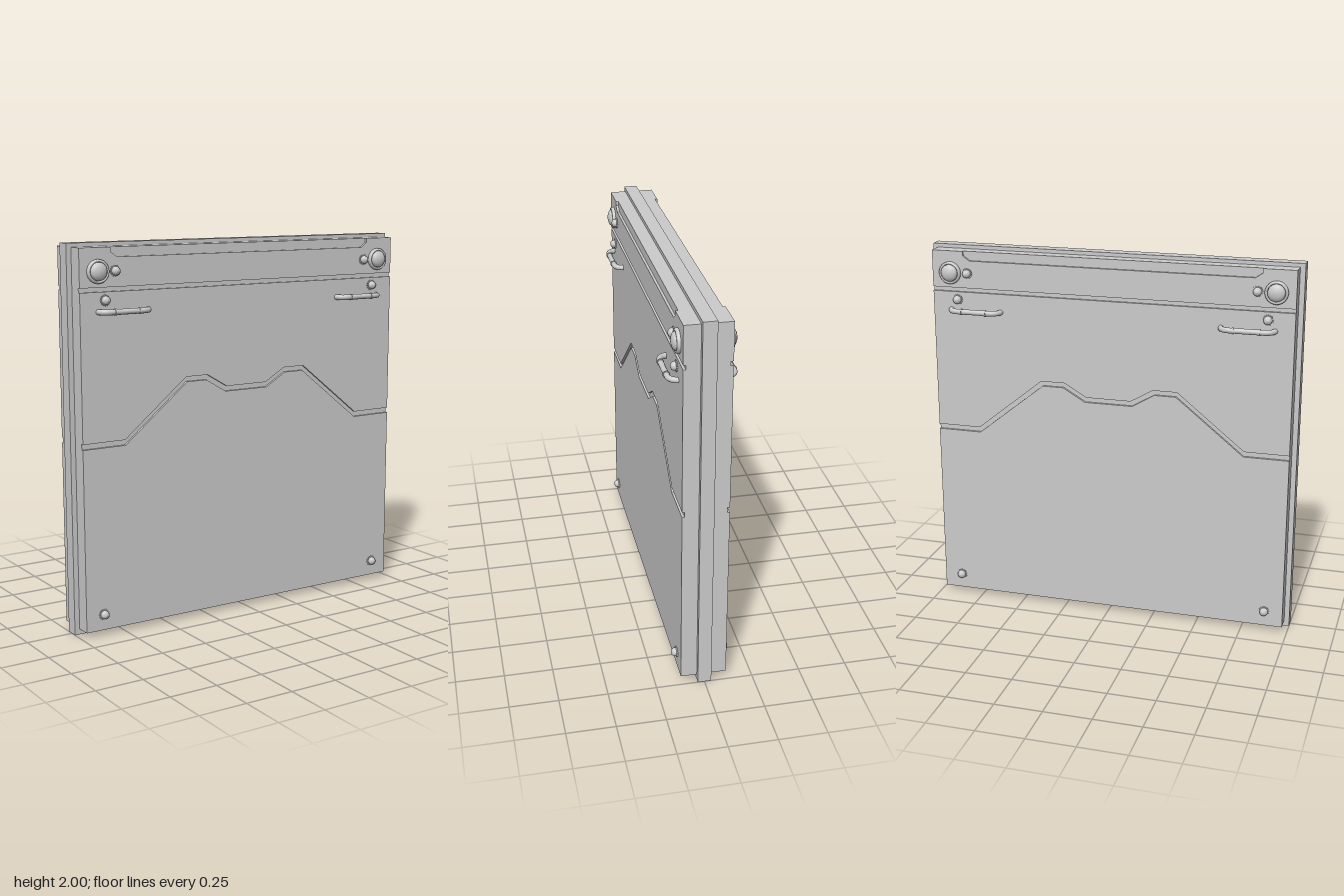
import * as THREE from 'three';

const mat = new THREE.MeshStandardMaterial({ color: 0xcccccc });
const W = 0.973, Y0 = 0.03, Y1 = 1.98; // panel half width, bottom, top
const FACE = 0.118, FLOOR = 0.105; // plate surface and groove floor

function add(parent, name, geometry, x = 0, y = 0, z = 0) {
  const mesh = new THREE.Mesh(geometry, mat);
  mesh.name = name;
  mesh.position.set(x, y, z);
  parent.add(mesh);
  return mesh;
}

// Flat face plate cut from an outline
function plate(parent, name, points) {
  const shape = new THREE.Shape(points.map(p => new THREE.Vector2(p[0], p[1])));
  const geo = new THREE.ExtrudeGeometry(shape, { depth: FACE - FLOOR, bevelEnabled: false });
  return add(parent, name, geo, 0, 0, FLOOR);
}

// Half outline mirrored to run from -x to +x
const mirrored = half => [...half, ...half.slice().reverse().map(([x, y]) => [-x, y])];

// Turned part standing out from the face; profile is [radius, height]
function turned(parent, name, profile, x, y) {
  const geo = new THREE.LatheGeometry(profile.map(p => new THREE.Vector2(p[0], p[1])), 24);
  geo.rotateX(Math.PI / 2);
  return add(parent, name, geo, x, y, FACE);
}

// Domed bolt on a toothed washer
function bolt(parent, x, y) {
  const pts = [];
  for (let i = 0; i < 32; i++) {
    const a = i / 32 * Math.PI * 2, r = i % 2 ? 0.024 : 0.029;
    pts.push(new THREE.Vector2(Math.cos(a) * r, Math.sin(a) * r));
  }
  const washer = new THREE.ExtrudeGeometry(new THREE.Shape(pts), { depth: 0.006, bevelEnabled: false });
  add(parent, 'boltWasher', washer, x, y, FACE);
  turned(parent, 'boltHead',
    [[0.022, 0], [0.022, 0.014], [0.019, 0.022], [0.012, 0.028], [0, 0.031]], x, y);
}

// Large round cap: raised ring around a shallow dome
function cap(parent, x, y) {
  turned(parent, 'capRing',
    [[0.06, 0], [0.06, 0.01], [0.056, 0.017], [0.05, 0.018], [0.046, 0.014], [0.046, 0]], x, y);
  turned(parent, 'capDome',
    [[0.045, 0], [0.045, 0.018], [0.038, 0.027], [0.025, 0.033], [0.012, 0.036], [0, 0.037]], x, y);
}

// Bent grab bar with two collars
function handle(parent, x, y) {
  const group = new THREE.Group();
  group.name = 'handle';
  group.position.set(x, y, 0);
  parent.add(group);
  const z = 0.16, v = (a, b) => new THREE.Vector3(a, 0, b);
  const path = new THREE.CurvePath();
  path.add(new THREE.LineCurve3(v(-0.14, 0.11), v(-0.138, 0.122)));
  path.add(new THREE.QuadraticBezierCurve3(v(-0.138, 0.122), v(-0.128, z), v(-0.085, z)));
  path.add(new THREE.LineCurve3(v(-0.085, z), v(0.085, z)));
  path.add(new THREE.QuadraticBezierCurve3(v(0.085, z), v(0.128, z), v(0.138, 0.122)));
  path.add(new THREE.LineCurve3(v(0.138, 0.122), v(0.14, 0.11)));
  add(group, 'handleBar', new THREE.TubeGeometry(path, 48, 0.0145, 12));
  for (const s of [-1, 1]) {
    const collar = add(group, 'handleCollar', new THREE.CylinderGeometry(0.0175, 0.0175, 0.008, 16), s * 0.068, 0, z);
    collar.rotation.z = Math.PI / 2;
  }
}

function createFace(name) {
  const face = new THREE.Group();
  face.name = name;

  // Plates either side of the stepped groove and the straight groove
  const step = [[-W, 1.01], [-0.735, 1.01], [-0.373, 1.302], [-0.243, 1.302], [-0.123, 1.232]];
  const lower = [[-W, 0.982], [-0.732, 0.982], [-0.366, 1.276], [-0.25, 1.276], [-0.13, 1.205]];
  plate(face, 'lowerPlate', [[W, Y0], [-W, Y0], ...mirrored(lower)]);
  plate(face, 'middlePlate', [[W, 1.762], [-W, 1.762], ...mirrored(step)]);
  // Upper plate with a chamfered notch along its top edge
  plate(face, 'upperPlate', [[W, 1.784], [W, Y1],
    ...mirrored([[-0.8, Y1], [-0.8, 1.957], [-0.763, 1.931]]).reverse(),
    [-W, Y1], [-W, 1.784]]);

  for (const s of [-1, 1]) {
    cap(face, s * 0.873, 1.863);
    bolt(face, s * 0.777, 1.863);
    bolt(face, s * 0.835, 1.72);
    bolt(face, s * 0.873, 0.113);
    handle(face, s * 0.733, 1.664);
  }
  return face;
}

export function createModel() {
  const model = new THREE.Group();
  model.name = 'doorPanel';

  // Thin outer frame and the thick panel core it runs around
  add(model, 'frame', new THREE.BoxGeometry(2, 2, 0.07), 0, 1, 0);
  add(model, 'panelCore', new THREE.BoxGeometry(W * 2, Y1 - Y0, FLOOR * 2), 0, (Y0 + Y1) / 2, 0);

  // Both sides are alike
  model.add(createFace('frontFace'));
  const back = createFace('backFace');
  back.rotation.y = Math.PI;
  model.add(back);
  return model;
}
